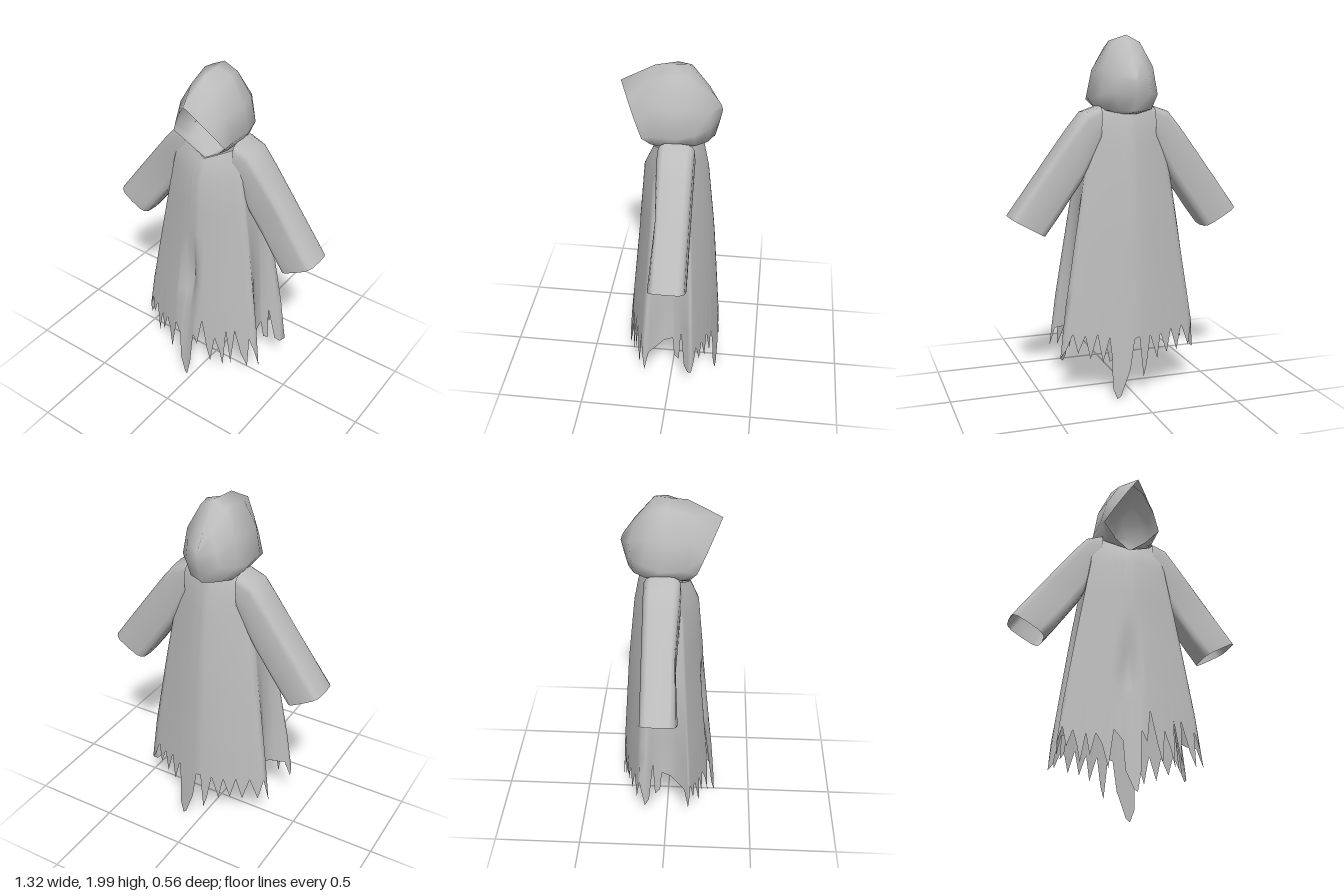
import * as THREE from 'three';
import { mergeVertices } from 'three/addons/utils/BufferGeometryUtils.js';

const cloth = new THREE.MeshStandardMaterial({ color: 0xbcbcbc, side: THREE.DoubleSide });
cloth.name = 'grey cloth';

// Skin a list of equally long point loops into one smooth open surface
function skin(name, loops) {
  const n = loops[0].length, index = [];
  for (let j = 0; j < loops.length - 1; j++) {
    for (let i = 0; i < n; i++) {
      const a = j * n + i, b = j * n + (i + 1) % n;
      index.push(a, a + n, b, b, a + n, b + n);
    }
  }
  let geo = new THREE.BufferGeometry();
  geo.setAttribute('position', new THREE.Float32BufferAttribute(loops.flat(2), 3));
  geo.setIndex(index);
  geo = mergeVertices(geo, 1e-4);
  geo.computeVertexNormals();
  const mesh = new THREE.Mesh(geo, cloth);
  mesh.name = name;
  return mesh;
}

// Robe profile: height, half width, front depth, back depth
const profile = [
  [1.61, 0.16, 0.065, -0.135], [1.58, 0.2, 0.08, -0.15], [1.53, 0.21, 0.105, -0.16], [1.4, 0.225, 0.165, -0.185],
  [1.0, 0.295, 0.2, -0.225], [0.4, 0.395, 0.258, -0.265], [0, 0.43, 0.288, -0.283],
];
function sizeAt(y) {
  let k = 0;
  while (k < profile.length - 2 && y < profile[k + 1][0]) k++;
  const a = profile[k], b = profile[k + 1], t = (a[0] - y) / (a[0] - b[0]);
  return a.map((v, i) => v + (b[i] - v) * t);
}

// q runs round the robe: 0-1 front, 1-2 left side, 2-3 back, 3-4 right side
function robePoint(q, height) {
  const part = Math.floor(q) % 4, w = q - Math.floor(q);
  const u = part === 0 ? 2 * w - 1 : 1 - 2 * w;
  // the neckline dips at the throat
  const y = part === 0 ? Math.min(height, 1.61 - 0.1 * (1 - Math.abs(u))) : height;
  const [, hx, zf, zb] = sizeAt(y);
  if (part % 2 === 0) {
    let z = (part === 0 ? zf : zb) * (1 - 0.48 * Math.abs(u) ** 1.4);
    // sunken fold down the front
    if (part === 0) z -= 0.06 * Math.max(0, 1 - Math.abs(u + 0.1) / 0.2) * Math.max(0, 1 - Math.abs(y - 0.73) / 0.32);
    return [hx * u, y, z];
  }
  // side panels sink inwards towards the hem
  const sink = 0.22 * THREE.MathUtils.clamp((1.3 - y) / 0.8, 0, 1);
  const f = zf * 0.52, b = zb * 0.52;
  const z = part === 1 ? f + (b - f) * w : b + (f - b) * w;
  return [(part === 1 ? 1 : -1) * hx * (1 - sink * Math.sin(Math.PI * w)), y, z];
}

// Torn hem: place along the panel (right to left, or front to back) and height
const frontHem = [
  [-1, 0.29], [-0.95, 0.38], [-0.88, 0.27], [-0.82, 0.36], [-0.76, 0.28], [-0.71, 0.18], [-0.66, 0.34],
  [-0.6, 0.22], [-0.54, 0.34], [-0.46, 0.28], [-0.38, 0.15], [-0.32, 0.36], [-0.21, 0.3], [-0.18, 0.14],
  [-0.08, 0.04], [-0.04, 0.03], [0.01, 0.14], [0.04, 0.36], [0.11, 0.3], [0.18, 0.48], [0.26, 0.3], [0.32, 0.2],
  [0.38, 0.38], [0.46, 0.28], [0.5, 0.19], [0.55, 0.45], [0.61, 0.22], [0.68, 0.46], [0.76, 0.3], [0.84, 0.22],
  [0.88, 0.42], [0.94, 0.34],
];
const backHem = [
  [-0.93, 0.38], [-0.84, 0.25], [-0.74, 0.38], [-0.63, 0.24], [-0.55, 0.37], [-0.46, 0.24],
  [-0.37, 0.36], [-0.3, 0.22], [-0.2, 0.36], [-0.13, 0.2], [-0.08, 0.13], [-0.03, 0.36], [0.04, 0.35],
  [0.1, 0.18], [0.22, 0.03], [0.27, 0.01], [0.33, 0.08], [0.34, 0.24], [0.38, 0.36], [0.46, 0.22],
  [0.54, 0.38], [0.62, 0.24], [0.7, 0.37], [0.78, 0.27], [0.86, 0.38], [0.93, 0.29], [1, 0.24],
];
const sideHem = [[0.03, 0.23], [0.1, 0.34], [0.25, 0.36], [0.4, 0.39], [0.58, 0.41], [0.62, 0.29], [0.72, 0.27], [0.77, 0.48], [0.84, 0.25], [0.92, 0.22]];

function makeRobe() {
  const hem = [
    ...frontHem.map(([u, y]) => [(u + 1) / 2, y]),
    ...sideHem.map(([w, y]) => [1 + w, y]),
    ...backHem.map(([u, y]) => [2 + (1 - u) / 2, y]).reverse(),
    ...sideHem.map(([w, y]) => [4 - w, y]).reverse(),
  ];
  const rows = [1.61, 1.58, 1.5, 1.4, 1.2, 1.05, 0.95, 0.84, 0.73, 0.62, 0.53];
  const loops = rows.map((y) => hem.map(([q]) => robePoint(q, y)));
  loops.push(hem.map(([q, y]) => robePoint(q, y)));
  return skin('robe', loops);
}

// Sleeve stations: upper edge x, y, lower edge x, y, dent of the front face
function makeSleeve(name, side) {
  const stations = [
    [0.15, 1.62, 0.16, 1.42, 0], [0.24, 1.59, 0.19, 1.34, 0], [0.315, 1.5, 0.26, 1.21, 0.01],
    [0.43, 1.345, 0.33, 1.11, 0.02], [0.54, 1.195, 0.4, 1.01, 0.01], [0.66, 1.03, 0.468, 0.92, 0],
  ];
  const N = 16;
  const round = (v) => Math.sign(v) * Math.abs(v) ** 0.5;
  return skin(name, stations.map(([ux, uy, lx, ly, dent]) =>
    Array.from({ length: N }, (_, i) => {
      const a = (i / N) * Math.PI * 2;
      const t = (1 - round(Math.cos(a))) / 2, s = round(Math.sin(a));
      const z = -0.025 + 0.1 * s - dent * Math.max(0, Math.sin(a)) ** 3;
      return [side * (ux + (lx - ux) * t), uy + (ly - uy) * t, z];
    })));
}

// Hood half loops from the face opening to the back, each from crown to throat
function makeHood() {
  const halves = [
    [[0, 1.89, 0.28], [0.06, 1.81, 0.24], [0.115, 1.73, 0.2], [0.165, 1.645, 0.155], [0.09, 1.57, 0.12], [0, 1.51, 0.105]],
    [[0, 1.985, 0.1], [0.07, 1.93, 0.12], [0.14, 1.81, 0.12], [0.178, 1.665, 0.1], [0.12, 1.58, 0.07], [0, 1.51, 0.09]],
    [[0, 1.992, 0], [0.08, 1.97, -0.01], [0.158, 1.81, -0.02], [0.183, 1.66, -0.03], [0.14, 1.6, -0.03], [0.1, 1.58, 0]],
    [[0, 2, -0.07], [0.075, 1.96, -0.08], [0.14, 1.83, -0.11], [0.165, 1.68, -0.12], [0.13, 1.6, -0.12], [0.06, 1.58, -0.12]],
    [[0, 1.88, -0.17], [0.045, 1.86, -0.175], [0.085, 1.78, -0.2], [0.1, 1.69, -0.195], [0.08, 1.6, -0.18], [0.03, 1.58, -0.16]],
    [[0, 1.79, -0.235], [0, 1.775, -0.242], [0, 1.75, -0.25], [0, 1.68, -0.235], [0, 1.6, -0.215], [0, 1.59, -0.21]],
  ];
  return skin('hood', halves.map((h) =>
    [...h, ...h.slice(1).reverse().map(([x, y, z]) => [-x, y, z])]));
}

export function createModel() {
  const group = new THREE.Group();
  group.name = 'hooded robe';
  group.add(makeRobe(), makeHood(), makeSleeve('leftSleeve', 1), makeSleeve('rightSleeve', -1));
  return group;
}
